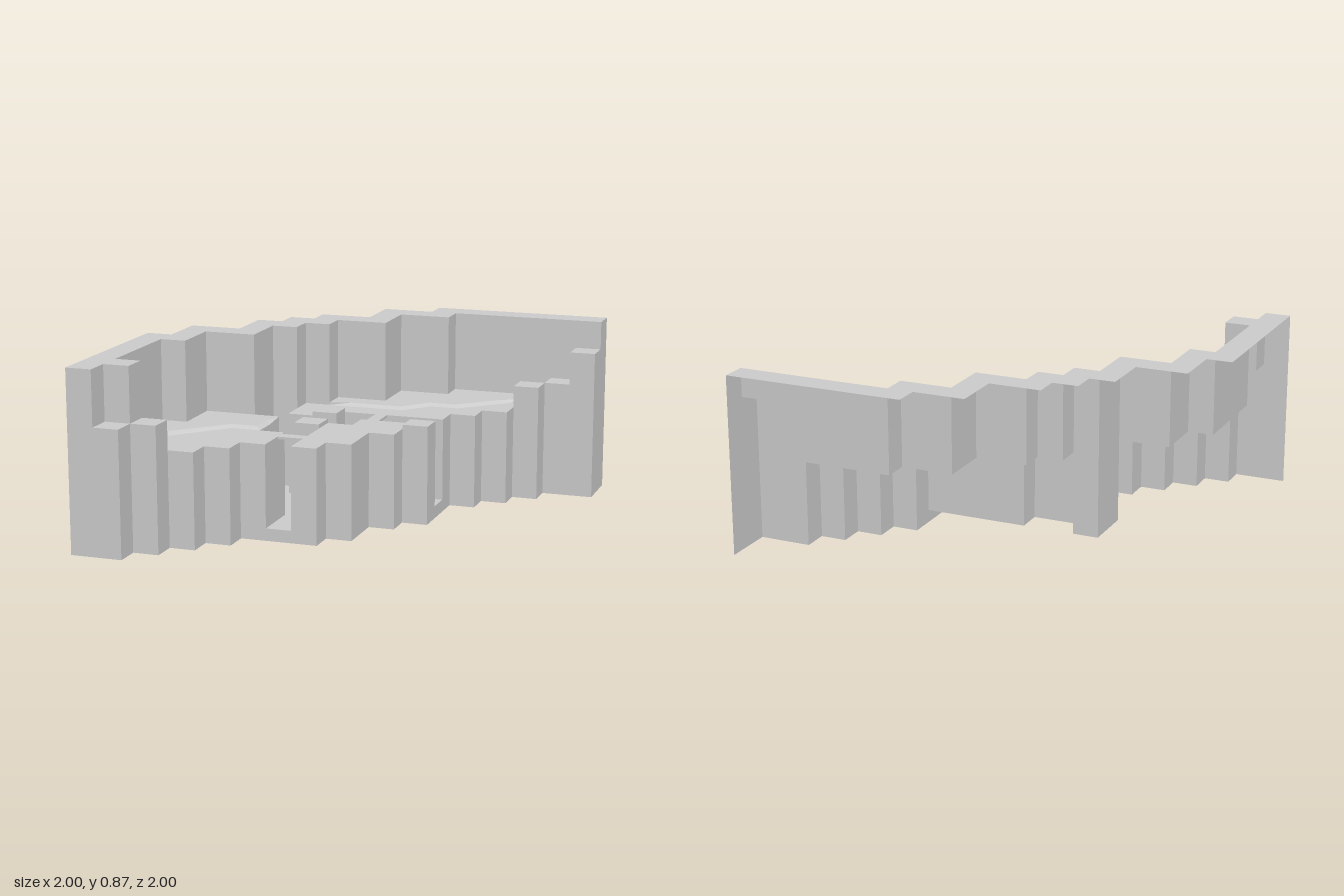
import * as THREE from 'three';

const CELL = 0.125;
const FLOOR = 0.46, TERRACE = 0.473;
// Height of each kind of cell
const HEIGHT = { W: 0.866, a: 0.602, b: 0.728, c: 0.566, t: 0.48, f: FLOOR, p: 0.06 };
const PART = { W: 'backWall', a: 'leftSteps', b: 'rightSteps', c: 'rightSteps', t: 'raisedBlocks', f: 'floor', p: 'trench' };
// Plan, back row first, x from left to right
const PLAN = [
  '.........WWWWWWW',
  '.......WWWffffcb',
  '.......Wfffffc..',
  '.....WWWfffff...',
  '....WWffffff....',
  '...WWffffff.....',
  '...Wpftpppp.....',
  '.WWWppppfft.....',
  '.Wfffptfff......',
  'WWfffppff.......',
  'Wfffffpff.......',
  'Wfffffpf........',
  'Wffff...........',
  'Wfff............',
  'WWa.............',
  'Wa..............',
];

const material = new THREE.MeshStandardMaterial({ color: 0xcccccc, flatShading: true, side: THREE.DoubleSide });

function meshFrom(points, name) {
  const geometry = new THREE.BufferGeometry();
  geometry.setAttribute('position', new THREE.Float32BufferAttribute(points, 3));
  geometry.computeVertexNormals();
  const mesh = new THREE.Mesh(geometry, material);
  mesh.name = name;
  return mesh;
}

// Corners a, b, c, d run anticlockwise seen from the front
function quad(out, a, b, c, d) {
  out.push(...a, ...b, ...c, ...a, ...c, ...d);
}

const cellAt = (row, col) => (PLAN[row] && PLAN[row][col]) || '.';

// Tops of the cells and the vertical faces down to lower neighbours
function buildCells(group) {
  const parts = {};
  for (let r = 0; r < 16; r++) for (let c = 0; c < 16; c++) {
    const kind = cellAt(r, c);
    if (kind === '.') continue;
    const out = (parts[PART[kind]] ??= []);
    const h = HEIGHT[kind];
    const x0 = -1 + c * CELL, x1 = x0 + CELL, z0 = -1 + r * CELL, z1 = z0 + CELL;
    quad(out, [x0, h, z1], [x1, h, z1], [x1, h, z0], [x0, h, z0]);
    const sides = [
      [0, 1, x1, z1, x1, z0],
      [1, 0, x0, z1, x1, z1],
      [0, -1, x0, z0, x0, z1],
      [-1, 0, x1, z0, x0, z0],
    ];
    for (const [dr, dc, ax, az, bx, bz] of sides) {
      const next = cellAt(r + dr, c + dc);
      // The back is open; front and right edges reach the ground
      if (next === '.' && dr + dc < 0) continue;
      const low = next === '.' ? 0 : HEIGHT[next];
      if (low < h) quad(out, [ax, low, az], [bx, low, bz], [bx, h, bz], [ax, h, az]);
    }
  }
  for (const name in parts) group.add(meshFrom(parts[name], name));
}

// Slightly raised ground with a sloping front edge; foot and crest are [x, z] paths
function buildTerrace(foot, crest, wallSide, name) {
  const terrace = new THREE.Group();
  terrace.name = name;
  const outline = [...crest, ...wallSide].map(([x, z]) => new THREE.Vector2(x, -z));
  const top = new THREE.ShapeGeometry(new THREE.Shape(outline));
  top.rotateX(-Math.PI / 2).translate(0, TERRACE, 0);
  const topMesh = new THREE.Mesh(top, material);
  topMesh.name = 'terraceTop';
  const slope = [];
  for (let i = 0; i < foot.length - 1; i++) {
    const lo = (p) => [p[0], FLOOR, p[1]], hi = (p) => [p[0], TERRACE, p[1]];
    quad(slope, lo(foot[i]), lo(foot[i + 1]), hi(crest[i + 1]), hi(crest[i]));
  }
  terrace.add(topMesh, meshFrom(slope, 'terraceSlope'));
  return terrace;
}

function box(w, h, d, x, y, z, name) {
  const mesh = new THREE.Mesh(new THREE.BoxGeometry(w, h, d), material);
  mesh.position.set(x, y, z);
  mesh.name = name;
  return mesh;
}

export function createModel() {
  const group = new THREE.Group();
  group.name = 'steppedTerrain';
  buildCells(group);

  // Terraces along the back wall
  group.add(buildTerrace(
    [[-0.25, -0.375], [-0.13, -0.375], [0.125, -0.375], [0.235, -0.505], [0.37, -0.505], [0.59, -0.715], [0.625, -0.75]],
    [[-0.25, -0.375], [-0.15, -0.4], [0.11, -0.4], [0.22, -0.53], [0.355, -0.53], [0.53, -0.7], [0.625, -0.75]],
    [[0.75, -0.75], [0.75, -0.875], [0.25, -0.875], [0.25, -0.75], [0, -0.75], [0, -0.5], [-0.25, -0.5]],
    'rightTerrace'));
  group.add(buildTerrace(
    [[-0.875, 0.5], [-0.75, 0.5], [-0.52, 0.25], [-0.375, 0.25], [-0.375, 0.12], [-0.375, 0]],
    [[-0.875, 0.5], [-0.77, 0.47], [-0.53, 0.22], [-0.4, 0.22], [-0.4, 0.1], [-0.375, 0]],
    [[-0.75, 0], [-0.75, 0.25], [-0.875, 0.25]],
    'leftTerrace'));

  // Thin planks across the two trenches
  group.add(box(CELL, 0.012, 0.06, -0.1875, FLOOR - 0.006, 0.31, 'frontPlank'));
  group.add(box(0.06, 0.012, CELL, 0.06, FLOOR - 0.006, -0.1875, 'sidePlank'));
  return group;
}
